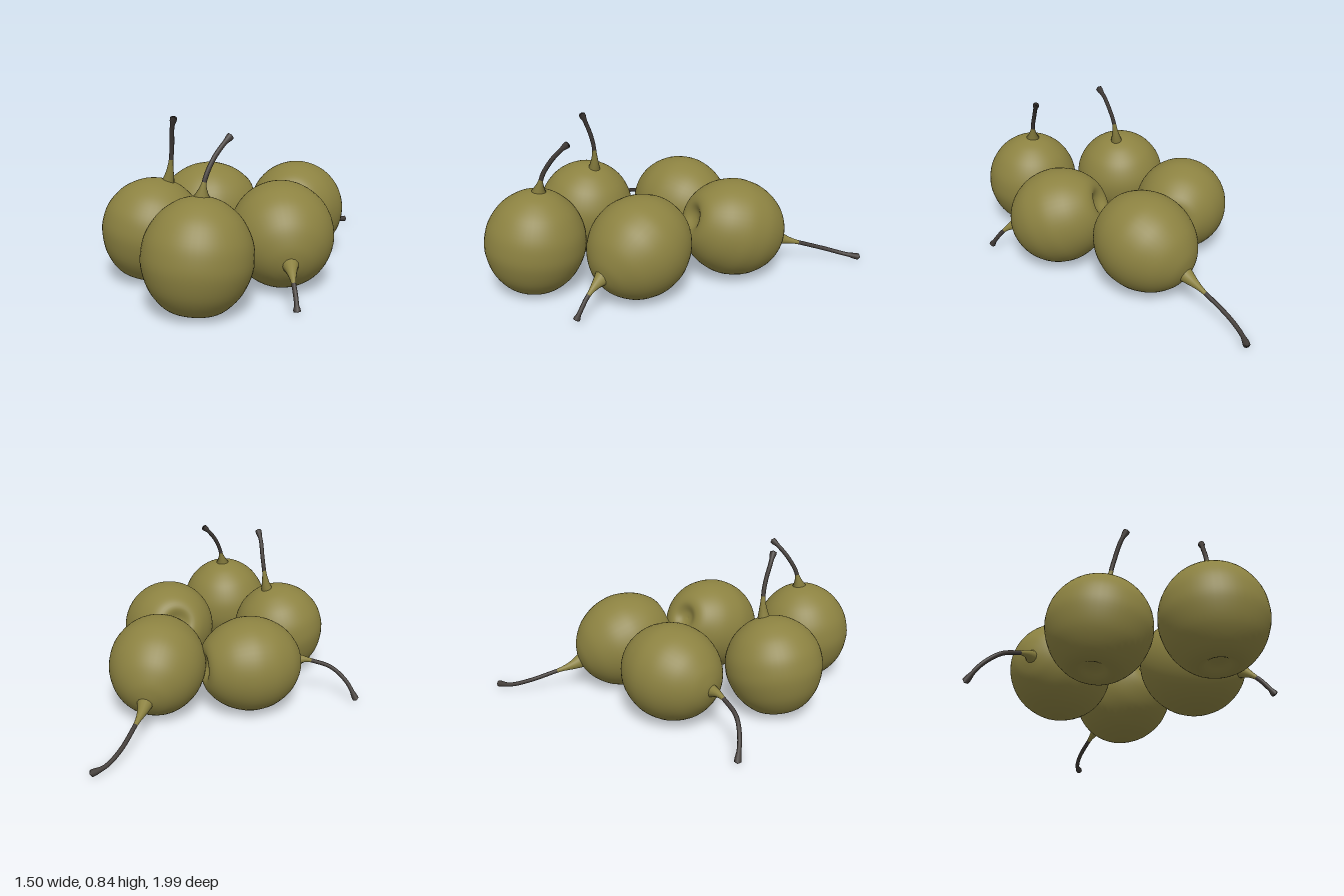
import * as THREE from 'three';

const skin = new THREE.MeshStandardMaterial({ color: 0x8c8241 });
skin.name = 'olive skin';
const wood = new THREE.MeshStandardMaterial({ color: 0x433d39 });
wood.name = 'dark stem';

const V = (p) => new THREE.Vector3(...p);

// Plump round body with a dimpled base, turned around its own axis
function makeBody({ center, axis, top, radius }) {
  const k = top / 0.27;
  const s = radius / 0.257;
  const outline = new THREE.SplineCurve([
    [0, -0.212], [0.035, -0.22], [0.085, -0.246], [0.145, -0.224], [0.212, -0.148],
    [0.25, -0.05], [0.254, 0.03 * k], [0.236, 0.105 * k], [0.187, 0.183 * k],
    [0.115, 0.239 * k], [0.05, 0.263 * k], [0, 0.27 * k],
  ].map(([r, y]) => new THREE.Vector2(r * s, y)));
  const points = outline.getPoints(48);
  points.forEach((p) => { p.x = Math.max(p.x, 0); });
  const geo = new THREE.LatheGeometry(points, 48);
  const turn = new THREE.Quaternion().setFromUnitVectors(new THREE.Vector3(0, 1, 0), V(axis).normalize());
  geo.applyQuaternion(turn);
  // Rest the fruit on the ground
  geo.computeBoundingBox();
  geo.translate(center[0], -geo.boundingBox.min.y, center[1]);
  const mesh = new THREE.Mesh(geo, skin);
  mesh.name = 'body';
  return mesh;
}

// Curved stem: flared skin-coloured neck, thin dark shaft, knobbed tip
function makeStem({ path, green, flare }) {
  const segs = 50, sides = 12;
  const curve = new THREE.CatmullRomCurve3(path.map(V));
  const geo = new THREE.TubeGeometry(curve, segs, 1, sides, false);
  const pos = geo.attributes.position;
  const v = new THREE.Vector3();
  for (let i = 0; i <= segs; i++) {
    const t = i / segs;
    const neck = Math.max(0, 1 - t / green);
    const knob = THREE.MathUtils.smoothstep(t, 0.86, 0.96);
    const r = i === segs ? 0 : 0.0115 + flare * neck ** 1.6 + 0.006 * knob;
    const c = curve.getPointAt(t);
    for (let j = 0; j <= sides; j++) {
      const n = i * (sides + 1) + j;
      v.fromBufferAttribute(pos, n).sub(c).multiplyScalar(r).add(c);
      pos.setXYZ(n, v.x, v.y, v.z);
    }
  }
  const split = Math.round(green * segs) * sides * 6;
  geo.clearGroups();
  geo.addGroup(0, split, 0);
  geo.addGroup(split, geo.index.count - split, 1);
  const mesh = new THREE.Mesh(geo, [skin, wood]);
  mesh.name = 'stem';
  return mesh;
}

// center is (x, z) on the ground; axis points from base to stem
const fruits = [
  { name: 'frontRightPear', center: [-0.133, 0.565], axis: [0.035, 0.25, -0.045], top: 0.262, radius: 0.259,
    green: 0.38, flare: 0.033,
    path: [[-0.09, 0.47, 0.51], [-0.08, 0.52, 0.5], [-0.065, 0.62, 0.495], [-0.045, 0.7, 0.505], [-0.02, 0.78, 0.525], [0.012, 0.842, 0.54]] },
  { name: 'frontLeftPear', center: [0.373, 0.738], axis: [0, 0.28, -0.035], top: 0.285, radius: 0.26,
    green: 0.3, flare: 0.06,
    path: [[0.37, 0.49, 0.71], [0.37, 0.55, 0.7], [0.372, 0.62, 0.68], [0.376, 0.7, 0.63], [0.386, 0.76, 0.575], [0.395, 0.795, 0.535]] },
  { name: 'backRightPear', center: [-0.262, 0.03], axis: [-0.19, -0.01, 0.24], top: 0.29, radius: 0.256,
    green: 0.24, flare: 0.035,
    path: [[-0.415, 0.235, 0.235], [-0.455, 0.235, 0.285], [-0.51, 0.215, 0.335], [-0.585, 0.18, 0.385], [-0.67, 0.11, 0.405], [-0.742, 0.015, 0.4]] },
  { name: 'backLeftPear', center: [0.405, 0.195], axis: [0.25, -0.14, 0.2], top: 0.285, radius: 0.262,
    green: 0.48, flare: 0.04,
    path: [[0.59, 0.19, 0.35], [0.64, 0.152, 0.392], [0.68, 0.11, 0.425], [0.71, 0.065, 0.448], [0.737, 0.015, 0.472]] },
  { name: 'rearPear', center: [0.125, -0.265], axis: [-0.12, -0.1, -0.24], top: 0.3, radius: 0.26,
    green: 0.3, flare: 0.036,
    path: [[0.02, 0.165, -0.5], [-0.002, 0.138, -0.555], [-0.03, 0.105, -0.65], [-0.065, 0.055, -0.8], [-0.068, 0.025, -0.91], [-0.045, 0.018, -0.995]] },
];

export function createModel() {
  const model = new THREE.Group();
  model.name = 'pears';
  for (const fruit of fruits) {
    const pear = new THREE.Group();
    pear.name = fruit.name;
    pear.add(makeBody(fruit), makeStem(fruit));
    model.add(pear);
  }
  return model;
}
